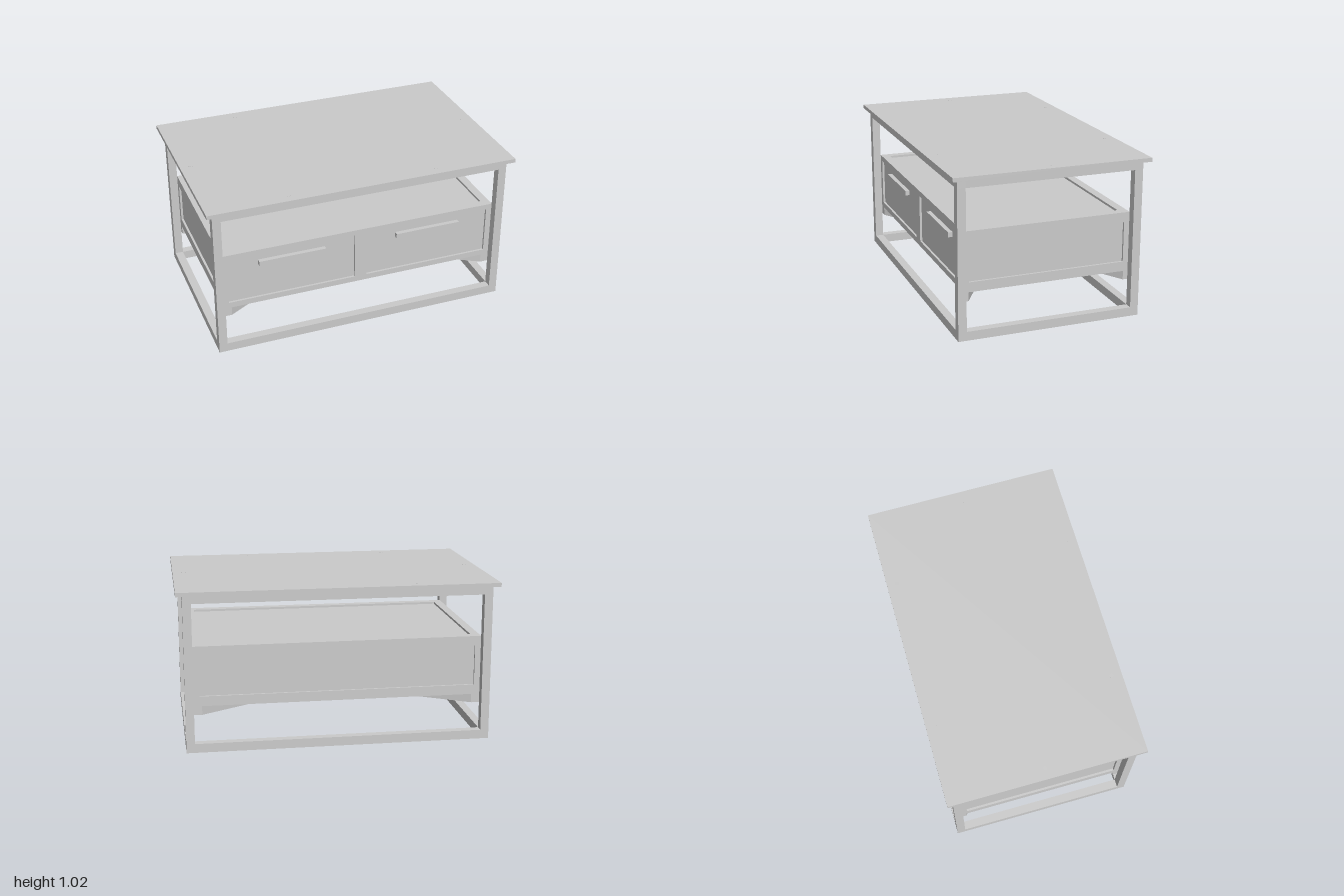
import * as THREE from 'three';

const grey = new THREE.MeshStandardMaterial({ color: 0xcccccc, flatShading: true });

function add(group, name, geometry, x = 0, y = 0, z = 0) {
  const mesh = new THREE.Mesh(geometry, grey);
  mesh.name = name;
  mesh.position.set(x, y, z);
  group.add(mesh);
  return mesh;
}

// Box given by its minimum and maximum corners
function box(group, name, [x0, y0, z0], [x1, y1, z1]) {
  return add(group, name, new THREE.BoxGeometry(x1 - x0, y1 - y0, z1 - z0),
    (x0 + x1) / 2, (y0 + y1) / 2, (z0 + z1) / 2);
}

function rectangle(Type, x0, y0, x1, y1) {
  return new Type().moveTo(x0, y0).lineTo(x1, y0).lineTo(x1, y1).lineTo(x0, y1).closePath();
}

// Flat rectangular panel with rectangular openings
function panelFrame(outer, holes, depth) {
  const shape = rectangle(THREE.Shape, ...outer);
  holes.forEach((h) => shape.holes.push(rectangle(THREE.Path, ...h)));
  return new THREE.ExtrudeGeometry(shape, { depth, bevelEnabled: false });
}

export function createModel() {
  const model = new THREE.Group();
  const X = 0.96, Z = 0.588, T = 0.053;       // outer half sizes and tube width
  const x = X - T, z = Z - T;                 // inner half sizes
  const railTop = 0.993, low = 0.283, high = 0.663;

  // Table top with flush screw heads
  box(model, 'tableTop', [-1, railTop, -0.625], [1, 1.018, 0.625]);
  const screws = [[-0.93, 0], [0.93, 0]];
  for (const s of [-1, 1]) screws.push([0.48 * s, 0.56], [0.48 * s, -0.56]);
  for (const [sx, sz] of screws) {
    add(model, 'screwHead', new THREE.CylinderGeometry(0.013, 0.013, 0.004, 12), sx, 1.017, sz);
  }

  // Open frame of square tube
  const frame = new THREE.Group();
  frame.name = 'frame';
  model.add(frame);
  for (const [y0, y1] of [[0, 0.057], [0.94, railTop]]) {
    for (const s of [-1, 1]) {
      const zc = s * (Z - T / 2), xc = s * (X - T / 2);
      box(frame, 'longRail', [-X, y0, zc - T / 2], [X, y1, zc + T / 2]);
      box(frame, 'shortRail', [xc - T / 2, y0, -z], [xc + T / 2, y1, z]);
    }
  }
  for (const sx of [-1, 1]) for (const sz of [-1, 1]) {
    const xc = sx * (X - T / 2), zc = sz * (Z - T / 2);
    box(frame, 'post', [xc - T / 2, 0.057, zc - T / 2], [xc + T / 2, 0.94, zc + T / 2]);
  }

  // Diagonal cross brace under the cabinet, its ends cut to fit the posts
  const angle = Math.atan2(z, x);
  const dx = T / 2 / Math.sin(angle), dz = T / 2 / Math.cos(angle);
  const cross = new THREE.Shape([
    [dx, 0], [x, z - dz], [x, z], [x - dx, z],
    [0, dz], [dx - x, z], [-x, z], [-x, z - dz],
    [-dx, 0], [-x, dz - z], [-x, -z], [dx - x, -z],
    [0, -dz], [x - dx, -z], [x, -z], [x, dz - z],
  ].map(([a, b]) => new THREE.Vector2(a, b)));
  add(model, 'crossBrace', new THREE.ExtrudeGeometry(cross, { depth: low - 0.227, bevelEnabled: false }), 0, 0.227, 0)
    .rotation.x = -Math.PI / 2;

  // Cabinet core with raised surrounds that leave the panels recessed
  const cabinet = new THREE.Group();
  cabinet.name = 'cabinet';
  model.add(cabinet);
  const d = 0.014, cx = x - d, cz = z - d;
  box(cabinet, 'cabinetBody', [-cx, low, -cz], [cx, high - d, cz]);
  add(cabinet, 'drawerSurround', panelFrame([-x, low, x, high],
    [[-0.87, 0.32, -0.04, 0.627], [0.04, 0.32, 0.87, 0.627]], d), 0, 0, cz);
  add(cabinet, 'backSurround', panelFrame([-x, low, x, high],
    [[-0.87, 0.345, 0.87, 0.6]], d), 0, 0, -z);
  for (const s of [-1, 1]) {
    add(cabinet, 'sideSurround', panelFrame([-cz, low, cz, high],
      [[-0.5, 0.345, 0.5, 0.6]], d), s > 0 ? cx : -x, 0, 0).rotation.y = Math.PI / 2;
  }
  const rim = 0.055;
  add(cabinet, 'topRim', panelFrame([-cx, -cz, cx, cz],
    [[rim - x, rim - z, x - rim, z - rim]], d), 0, high - d, 0).rotation.x = -Math.PI / 2;

  // Bar handles on the two drawers
  for (const s of [-1, 1]) {
    box(cabinet, 'drawerHandle', [s * 0.454 - 0.217, 0.553, cz], [s * 0.454 + 0.217, 0.584, cz + 0.028]);
  }
  return model;
}
